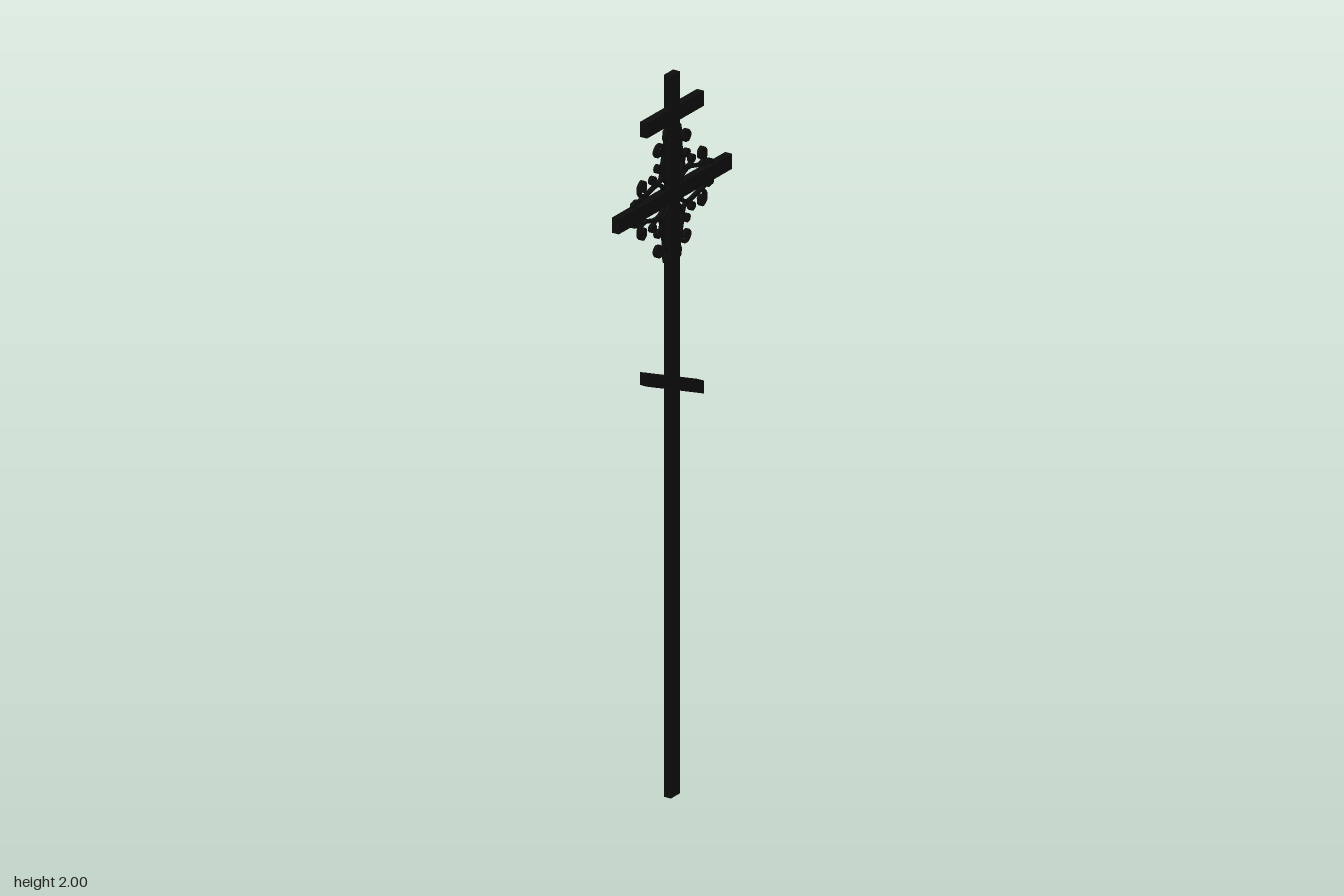
import * as THREE from 'three';

const iron = new THREE.MeshStandardMaterial({ color: 0x0d0d0d });
const T = 0.021;        // thickness along x
const CROSS_Y = 1.667;  // height of the main crossbar

// Extrudes a shape drawn in (z, y) evenly about x = 0
function plate(name, shape, depth) {
  const geo = new THREE.ExtrudeGeometry(shape, { depth, bevelEnabled: false, curveSegments: 6 });
  geo.translate(0, 0, -depth / 2);
  geo.rotateY(-Math.PI / 2);
  const mesh = new THREE.Mesh(geo, iron);
  mesh.name = name;
  return mesh;
}

// Bar with upright ends; rise is the height gained from centre to the +z end
function bar(name, y, half, height, rise = 0) {
  const h = height / 2;
  return plate(name, new THREE.Shape([
    new THREE.Vector2(-half, y - rise - h), new THREE.Vector2(half, y + rise - h),
    new THREE.Vector2(half, y + rise + h), new THREE.Vector2(-half, y - rise + h),
  ]), T);
}

// Flat wrought ribbon that follows a smooth curve
function ribbon(points, width) {
  const curve = new THREE.SplineCurve(points);
  const n = points.length * 5, left = [], right = [];
  for (let i = 0; i <= n; i++) {
    const p = curve.getPoint(i / n), t = curve.getTangent(i / n);
    const side = new THREE.Vector2(-t.y, t.x).multiplyScalar(width / 2);
    left.push(p.clone().add(side));
    right.unshift(p.clone().sub(side));
  }
  return plate('scroll', new THREE.Shape([...left, ...right]), 0.01);
}

function knob(p, r) {
  const shape = new THREE.Shape();
  shape.absarc(p.x, p.y, r, 0, Math.PI * 2);
  return plate('scrollKnob', shape, 0.012);
}

// Scrolls of one half quadrant, measured from the crossing
const OUTER = [[0.06, 0.134], [0.069, 0.126], [0.078, 0.138], [0.066, 0.152], [0.046, 0.148],
  [0.036, 0.128], [0.042, 0.1], [0.047, 0.074], [0.038, 0.05], [0.018, 0.034]];
const TIP = [[0.038, 0.135], [0.029, 0.15], [0.034, 0.166], [0.028, 0.178], [0.014, 0.176], [0.008, 0.16]];
const INNER = [[0.046, 0.08], [0.05, 0.06], [0.066, 0.049], [0.084, 0.053], [0.09, 0.066]];

export function createModel() {
  const model = new THREE.Group();
  model.name = 'cross';

  const post = new THREE.Mesh(new THREE.BoxGeometry(T, 2, 0.042), iron);
  post.name = 'post';
  post.position.y = 1;
  model.add(
    post,
    bar('topBar', 1.887, 0.131, 0.042),
    bar('mainBar', CROSS_Y, 0.261, 0.042),
    bar('slantedFootBar', 1.142, 0.131, 0.036, 0.055),
  );

  // Filigree: mirrored across both bars and across each diagonal
  const filigree = new THREE.Group();
  filigree.name = 'filigree';
  filigree.position.y = CROSS_Y;
  for (const sz of [1, -1]) for (const sy of [1, -1]) for (const swap of [false, true]) {
    const place = ([a, b]) => new THREE.Vector2(sz * (swap ? b : a), sy * (swap ? a : b));
    for (const path of [OUTER, TIP, INNER]) filigree.add(ribbon(path.map(place), 0.009));
    filigree.add(
      knob(place(OUTER[0]), 0.011),
      knob(place(INNER[4]), 0.012),
      knob(place(TIP[3]), 0.007),
    );
  }
  model.add(filigree);
  return model;
}
